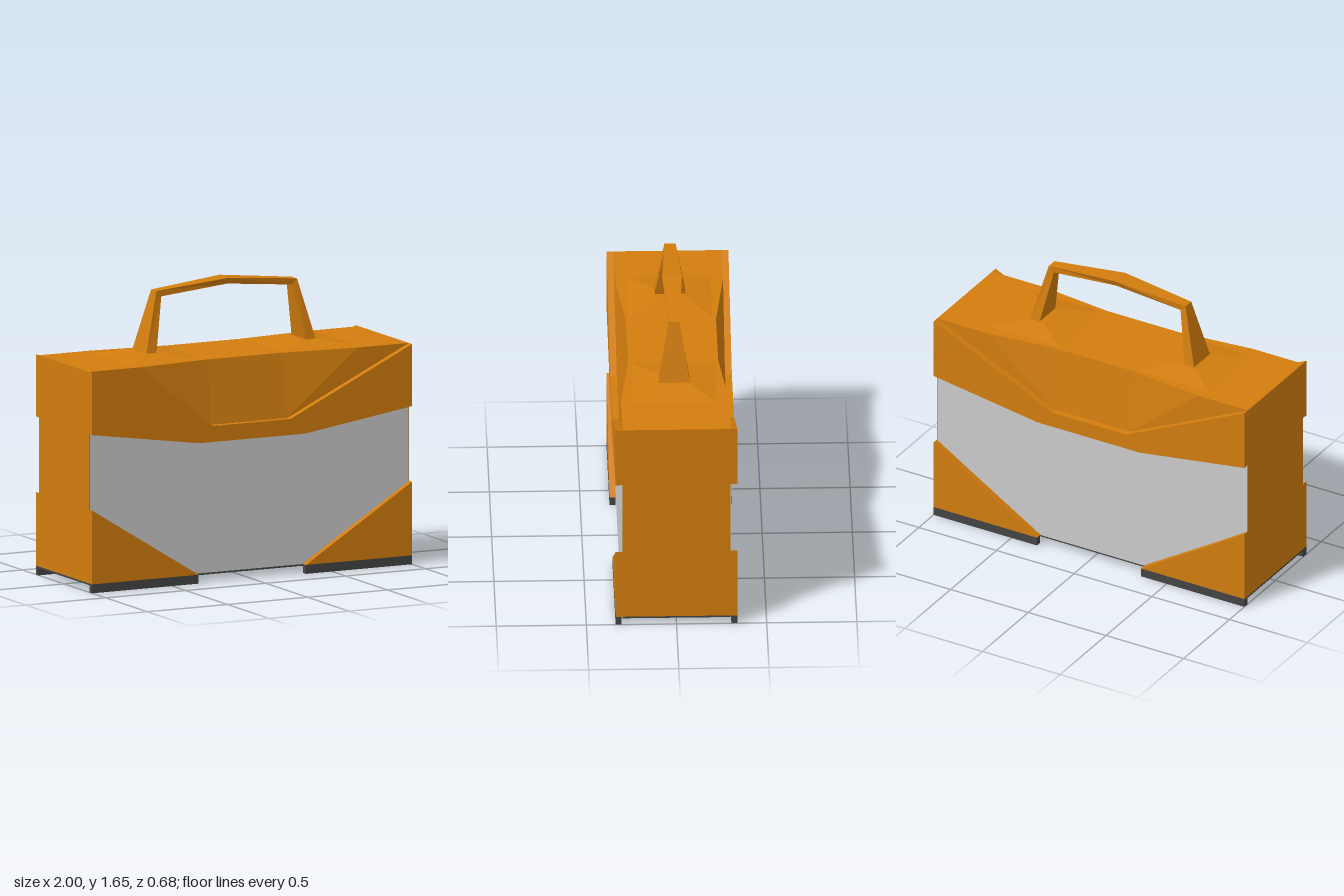
import * as THREE from 'three';

const mat = (color) => new THREE.MeshStandardMaterial({ color, flatShading: true });

// Prism of a polygon, extruded along +z
function prism(points, depth) {
  const shape = new THREE.Shape(points.map(([x, y]) => new THREE.Vector2(x, y)));
  return new THREE.ExtrudeGeometry(shape, { depth, bevelEnabled: false });
}

// Skin over four-cornered cross-sections, with both ends closed
function loft(sections) {
  const index = [];
  for (let s = 0; s < sections.length - 1; s++) {
    for (let i = 0; i < 4; i++) {
      const a = s * 4 + i, b = s * 4 + (i + 1) % 4;
      index.push(a, b, b + 4, a, b + 4, a + 4);
    }
  }
  const e = (sections.length - 1) * 4;
  index.push(2, 1, 0, 3, 2, 0, e, e + 1, e + 2, e, e + 2, e + 3);
  const geo = new THREE.BufferGeometry();
  geo.setAttribute('position', new THREE.Float32BufferAttribute(sections.flat(2), 3));
  geo.setIndex(index);
  const flat = geo.toNonIndexed();
  flat.computeVertexNormals();
  return flat;
}

export function createModel() {
  const group = new THREE.Group();
  const orange = mat(0xd27d0e), grey = mat(0xcccccc), dark = mat(0x444444);
  const add = (name, geo, material, x = 0, y = 0, z = 0, parent = group) => {
    const mesh = new THREE.Mesh(geo, material);
    mesh.name = name;
    mesh.position.set(x, y, z);
    parent.add(mesh);
    return mesh;
  };

  // Lower case
  add('lowerCase', new THREE.BoxGeometry(2, 0.83, 0.6), orange, 0, 0.465, 0);

  // Upper case: its sides lean in towards a waisted top
  const half = [[1, 0.3], [0.68, 0.3], [0.23, 0.25], [-0.23, 0.25], [-0.68, 0.3], [-1, 0.3]];
  const upper = prism([...half, ...half.map(([x, z]) => [-x, -z])], 0.36);
  upper.rotateX(-Math.PI / 2);
  const p = upper.attributes.position;
  for (let i = 0; i < p.count; i++) {
    if (p.getY(i) > 0.1) continue;
    const x = p.getX(i);
    if (Math.abs(x) < 0.9) p.setX(i, Math.sign(x) * 0.24);
    p.setZ(i, Math.sign(p.getZ(i)) * 0.3);
  }
  upper.computeVertexNormals();
  add('upperCase', upper, orange, 0, 0.88, 0);

  // Panels on the front, repeated on the back
  const upperPanel = prism([[-1, 1.24], [-1, 0.89], [-0.33, 0.79], [0.33, 0.79], [1, 0.89],
    [1, 1.24], [0.24, 0.88], [-0.24, 0.88]], 0.038);
  const greyPanel = prism([[-0.995, 0.89], [-0.995, 0.46], [-0.33, 0.05], [0.33, 0.05],
    [0.995, 0.46], [0.995, 0.89], [0.33, 0.79], [-0.33, 0.79]], 0.003);
  const cornerLeft = prism([[1, 0.465], [0.335, 0.05], [1, 0.05]], 0.038);
  const cornerRight = prism([[-1, 0.465], [-1, 0.05], [-0.335, 0.05]], 0.038);
  for (const [name, turn] of [['frontPanels', 0], ['backPanels', Math.PI]]) {
    const side = new THREE.Group();
    side.name = name;
    side.rotation.y = turn;
    add('upperPanel', upperPanel, orange, 0, 0, 0.3, side);
    add('greyPanel', greyPanel, grey, 0, 0, 0.3, side);
    add('cornerLeft', cornerLeft, orange, 0, 0, 0.3, side);
    add('cornerRight', cornerRight, orange, 0, 0, 0.3, side);
    group.add(side);
  }

  // Underside: plate, edge feet and pads
  add('basePlate', new THREE.BoxGeometry(2, 0.01, 0.6), dark, 0, 0.045, 0);
  for (const s of [-1, 1]) {
    for (const t of [-1, 1]) {
      add('foot', new THREE.BoxGeometry(0.665, 0.05, 0.034), dark, s * 0.6675, 0.025, t * 0.321);
    }
    add('footPad', new THREE.BoxGeometry(0.47, 0.036, 0.5), dark, s * 0.66, 0.023, 0);
  }

  // Low pyramids where the handle meets the top
  const rect = (x0, x1, z, y) => [[x0, y, z], [x1, y, z], [x1, y, -z], [x0, y, -z]];
  const mount = loft([rect(-0.24, 0.24, 0.24, 1.238), rect(-0.045, 0.05, 0.088, 1.27)]);
  add('handleMountLeft', mount, orange, 0.48);
  add('handleMountRight', mount, orange, -0.48).rotation.y = Math.PI;

  // Handle: [outer x, y, inner x, y, outer half width, inner half width]
  const stations = [
    [0.53, 1.262, 0.468, 1.262, 0.087, 0.087],
    [0.44, 1.607, 0.408, 1.575, 0.031, 0.031],
    [0, 1.65, 0, 1.615, 0.055, 0.04],
  ];
  const mirrored = stations.slice(0, 2).reverse().map(([a, b, c, d, w, v]) => [-a, b, -c, d, w, v]);
  const sections = [...stations, ...mirrored].map(([ox, oy, ix, iy, w, v]) =>
    [[ix, iy, v], [ox, oy, w], [ox, oy, -w], [ix, iy, -v]]);
  add('handle', loft(sections), orange);

  return group;
}
